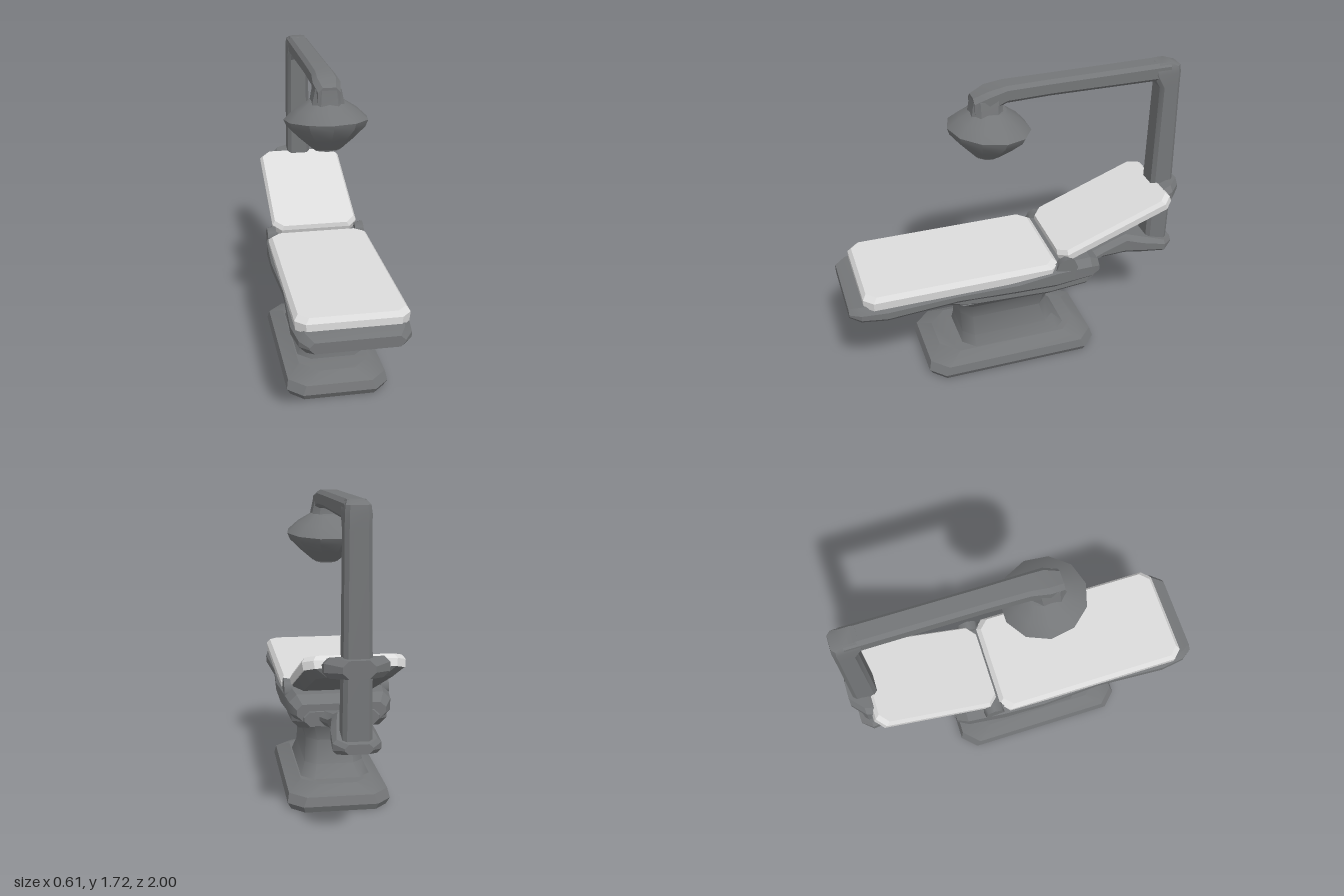
import * as THREE from 'three';
import { toCreasedNormals } from 'three/addons/utils/BufferGeometryUtils.js';

const mat = (name, color) => {
  const m = new THREE.MeshStandardMaterial({ color });
  m.name = name;
  return m;
};

// Rectangle with cut corners, counter-clockwise in (u, v)
function ring(u0, u1, v0, v1, c) {
  return [[u1, v0 + c], [u1, v1 - c], [u1 - c, v1], [u0 + c, v1],
    [u0, v1 - c], [u0, v0 + c], [u0 + c, v0], [u1 - c, v0]];
}

// Joins equal-sized rings of 3D points into a capped solid
function loft(rings, crease = 0.5) {
  const n = rings[0].length;
  const pos = rings.flat(2);
  const idx = [];
  for (let r = 0; r < rings.length - 1; r++) {
    for (let i = 0; i < n; i++) {
      const a = r * n + i, b = r * n + (i + 1) % n;
      idx.push(a, b, b + n, a, b + n, a + n);
    }
  }
  const last = (rings.length - 1) * n;
  for (let i = 1; i < n - 1; i++) {
    idx.push(0, i + 1, i, last, last + i, last + i + 1);
  }
  const g = new THREE.BufferGeometry();
  g.setAttribute('position', new THREE.Float32BufferAttribute(pos, 3));
  g.setIndex(idx);
  return toCreasedNormals(g, crease);
}

// Sections stacked upwards: [y, half width, back z, front z, corner cut]
const loftUp = (rows, crease) => loft(rows.map(([y, w, z0, z1, c]) =>
  ring(-w, w, -z1, -z0, c).map(([x, v]) => [x, y, -v])), crease);

// Sections running forwards: [z, half width, bottom y, top y, corner cut]
const loftForward = (rows, crease) => loft(rows.map(([z, w, y0, y1, c]) =>
  ring(-w, w, y0, y1, c).map(([x, y]) => [x, y, z])), crease);

export function createModel() {
  const model = new THREE.Group();
  const grey = mat('darkGrey', 0x747678);
  const light = mat('lightUpholstery', 0xdcdcdc);
  const lensGrey = mat('lensGrey', 0x8e9092);

  function add(name, geometry, material, parent = model) {
    const mesh = new THREE.Mesh(geometry, material);
    mesh.name = name;
    parent.add(mesh);
    return mesh;
  }

  // Foot and pedestal
  add('base', loftUp([
    [0.005, 0.265, -0.44, 0.55, 0.07],
    [0.04, 0.285, -0.455, 0.57, 0.08],
    [0.09, 0.275, -0.44, 0.555, 0.09],
    [0.135, 0.2, -0.36, 0.48, 0.1],
  ]), grey);
  add('pedestal', loftUp([
    [0.12, 0.2, -0.3, 0.35, 0.07],
    [0.2, 0.165, -0.22, 0.34, 0.06],
    [0.33, 0.155, -0.18, 0.345, 0.06],
    [0.42, 0.175, -0.2, 0.355, 0.06],
    [0.5, 0.25, -0.26, 0.44, 0.08],
  ], 0.8), grey);

  // Seat support below, wide frame above
  add('seatSupport', loftForward([
    [-0.47, 0.2, 0.5, 0.58, 0.03],
    [-0.38, 0.26, 0.47, 0.6, 0.04],
    [-0.15, 0.26, 0.45, 0.6, 0.04],
    [0.3, 0.26, 0.47, 0.6, 0.04],
    [0.55, 0.22, 0.5, 0.6, 0.04],
    [0.85, 0.18, 0.53, 0.6, 0.03],
  ]), grey);
  add('seatFrame', loftForward([
    [-0.46, 0.24, 0.53, 0.62, 0.03],
    [-0.4, 0.275, 0.52, 0.66, 0.04],
    [-0.18, 0.3, 0.52, 0.675, 0.04],
    [0.05, 0.305, 0.53, 0.65, 0.04],
    [0.4, 0.285, 0.53, 0.64, 0.04],
    [0.8, 0.305, 0.52, 0.64, 0.04],
    [0.94, 0.285, 0.53, 0.63, 0.035],
    [1.0, 0.24, 0.55, 0.61, 0.025],
  ]), grey);
  add('seatCushion', loftUp([
    [0.62, 0.29, -0.2, 0.92, 0.05],
    [0.67, 0.295, -0.2, 0.92, 0.05],
    [0.697, 0.275, -0.17, 0.9, 0.05],
  ], 0.35), light);

  // Reclined backrest, built lying flat and tilted about its lower edge
  const back = new THREE.Group();
  back.name = 'backrest';
  back.position.set(0, 0.67, -0.22);
  back.rotation.x = 0.37;
  model.add(back);
  add('backCushion', loftUp([
    [-0.01, 0.25, -0.73, 0, 0.05],
    [0.03, 0.255, -0.73, 0, 0.05],
    [0.055, 0.24, -0.715, -0.01, 0.05],
  ], 0.35), light, back);
  add('backShell', loftUp([
    [-0.05, 0.19, -0.7, -0.02, 0.05],
    [-0.01, 0.245, -0.735, 0.02, 0.05],
  ]), grey, back);

  // Side hinges between seat and backrest
  for (const s of [-1, 1]) {
    const hinge = add('backHinge', new THREE.CylinderGeometry(0.055, 0.065, 0.05, 8), grey);
    hinge.rotation.z = Math.PI / 2;
    hinge.position.set(s * 0.265, 0.65, -0.24);
  }

  // Link from the seat to the post, with mounting brackets
  add('rearLink', loftForward([
    [-1.0, 0.07, 0.52, 0.57, 0.02],
    [-0.94, 0.12, 0.505, 0.58, 0.02],
    [-0.8, 0.11, 0.51, 0.62, 0.03],
    [-0.7, 0.09, 0.515, 0.645, 0.03],
    [-0.55, 0.09, 0.51, 0.59, 0.03],
    [-0.42, 0.14, 0.5, 0.58, 0.03],
  ]), grey);
  add('headBracket', loftForward([
    [-1.0, 0.08, 0.89, 0.98, 0.03],
    [-0.93, 0.16, 0.88, 0.985, 0.03],
    [-0.83, 0.18, 0.87, 0.95, 0.03],
  ]), grey);

  // Upright post and overhead arm
  add('post', loftUp([
    [0.51, 0.075, -0.97, -0.835, 0.02],
    [0.95, 0.07, -0.975, -0.84, 0.02],
    [1.58, 0.065, -0.965, -0.845, 0.02],
    [1.66, 0.065, -0.965, -0.8, 0.02],
    [1.7, 0.06, -0.96, -0.8, 0.02],
    [1.722, 0.045, -0.91, -0.82, 0.02],
  ]), grey);
  add('overheadArm', loftForward([
    [-0.9, 0.062, 1.62, 1.722, 0.02],
    [-0.2, 0.062, 1.625, 1.718, 0.02],
    [0.04, 0.065, 1.62, 1.716, 0.02],
    [0.14, 0.075, 1.58, 1.7, 0.025],
    [0.22, 0.06, 1.56, 1.665, 0.025],
  ]), grey);
  add('lampNeck', loftUp([
    [1.5, 0.1, 0.03, 0.25, 0.04],
    [1.58, 0.085, 0.06, 0.23, 0.04],
    [1.65, 0.07, 0.06, 0.22, 0.03],
  ]), grey);

  // Faceted lamp head, tipped slightly towards the patient
  const lamp = new THREE.Group();
  lamp.name = 'lamp';
  lamp.position.set(0, 1.455, 0.13);
  lamp.rotation.x = -0.1;
  model.add(lamp);
  const profile = [[0, -0.145], [0.08, -0.14], [0.155, -0.075], [0.215, -0.015],
    [0.23, 0.02], [0.17, 0.075], [0.09, 0.125], [0, 0.14]]
    .map(([r, y]) => new THREE.Vector2(r, y));
  add('lampShade', toCreasedNormals(new THREE.LatheGeometry(profile, 11), 0.4), grey, lamp);
  const lens = add('lampLens', new THREE.CylinderGeometry(0.07, 0.075, 0.008, 10), lensGrey, lamp);
  lens.position.y = -0.144;
  lens.rotation.x = Math.PI;

  return model;
}
